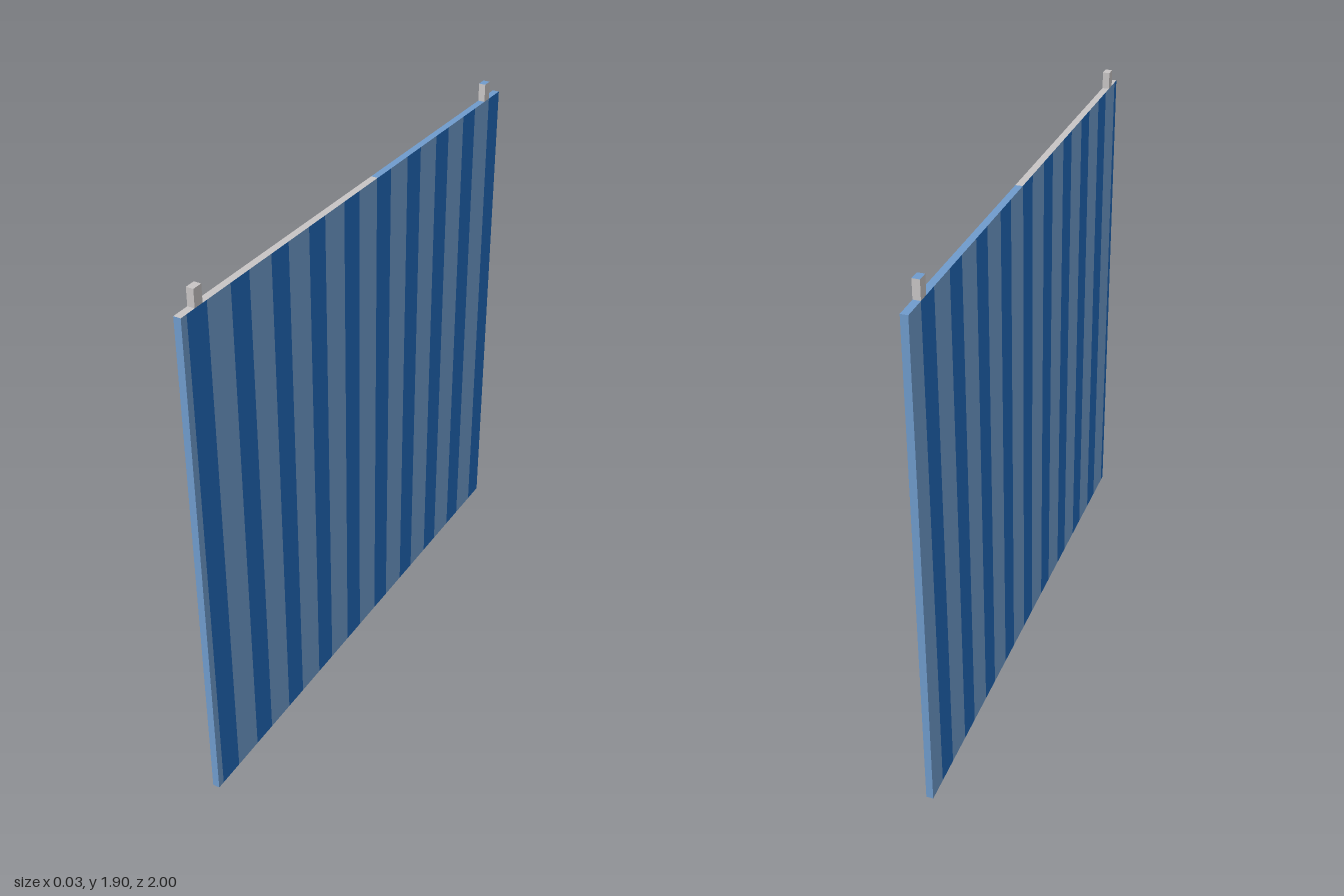
import * as THREE from 'three';

const T = 0.0125;      // half thickness of the panel
const H = 1.84;        // panel height
const PERIOD = 0.2097; // stripe spacing
const DARK = 0.094;    // dark stripe width

export function createModel() {
  const flat = (name, color) => {
    const m = new THREE.MeshStandardMaterial({ color });
    m.name = name;
    return m;
  };
  const light = flat('lightBlue', 0x6f9bcc);
  const dark = flat('darkBlue', 0x2168b8);
  const grey = flat('grey', 0xc8c5c5);

  const model = new THREE.Group();
  model.name = 'stripedPanel';

  // One flat rectangle of the panel's skin
  const face = (parent, name, w, h, pos, rot, mat) => {
    const mesh = new THREE.Mesh(new THREE.PlaneGeometry(w, h), mat);
    mesh.name = name;
    mesh.position.set(...pos);
    mesh.rotation.set(...rot);
    parent.add(mesh);
  };

  // Striped side: dark bands start at zStart and repeat towards -z
  const stripedSide = (name, side, zStart) => {
    const group = new THREE.Group();
    group.name = name;
    const strip = (label, a, b, mat) => {
      const z1 = Math.min(a, 1), z0 = Math.max(b, -1);
      if (z1 - z0 < 0.001) return;
      face(group, label, z1 - z0, H, [side * T, H / 2, (z0 + z1) / 2], [0, side * Math.PI / 2, 0], mat);
    };
    for (let k = -1; k < 10; k++) {
      const z = zStart - k * PERIOD;
      strip('darkStripe', z, z - DARK, dark);
      strip('lightStripe', z - DARK, z - PERIOD, light);
    }
    model.add(group);
  };
  stripedSide('leftSide', 1, 0.973);
  stripedSide('rightSide', -1, 0.973 + DARK);

  // Narrow edges
  face(model, 'frontEdge', 2 * T, H, [0, H / 2, 1], [0, 0, 0], light);
  face(model, 'backEdge', 2 * T, H, [0, H / 2, -1], [0, Math.PI, 0], light);
  face(model, 'bottomEdge', 2 * T, 2, [0, 0, 0], [Math.PI / 2, 0, 0], light);
  face(model, 'topEdgeBack', 2 * T, 0.92, [0, H, -0.54], [-Math.PI / 2, 0, 0], light);
  face(model, 'topEdgeFront', 2 * T, 1.08, [0, H, 0.46], [-Math.PI / 2, 0, 0], grey);

  // Hanging pegs on the top edge
  const peg = (name, z, top, cap) => {
    const h = top - H;
    const mesh = new THREE.Mesh(new THREE.BoxGeometry(2 * T, h, 0.037), [grey, grey, cap, grey, grey, grey]);
    mesh.name = name;
    mesh.position.set(0, H + h / 2, z);
    model.add(mesh);
  };
  peg('frontPeg', 0.917, 1.9, grey);
  peg('backPeg', -0.895, 1.905, light);

  return model;
}
